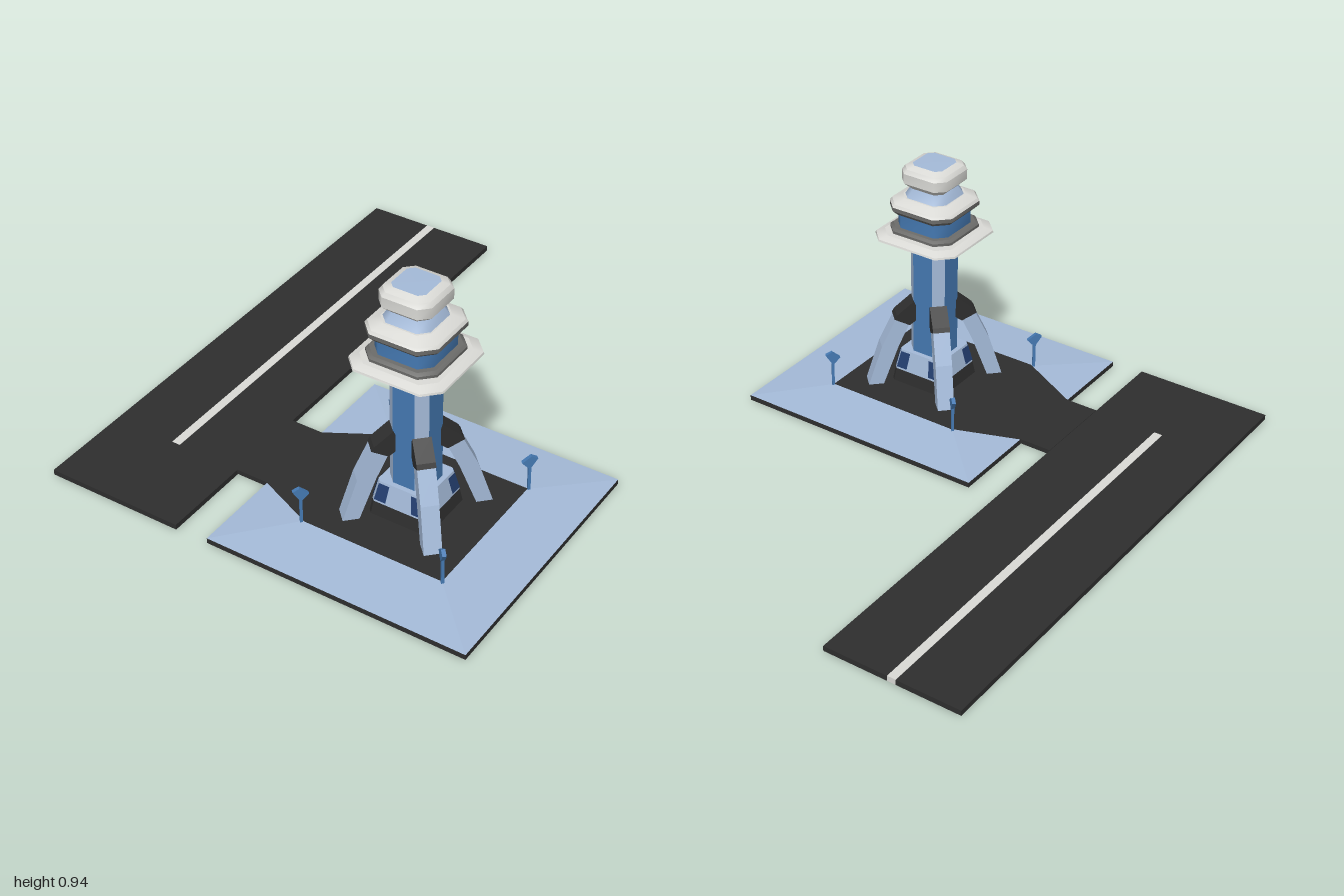
import * as THREE from 'three';

const mat = (name, color, side = THREE.FrontSide) => {
  const m = new THREE.MeshStandardMaterial({ color, side });
  m.name = name;
  return m;
};

export function createModel() {
  const paleBlue = mat('pale blue', 0xa4bad8, THREE.DoubleSide);
  const blue = mat('blue', 0x4579b2);
  const navy = mat('navy', 0x243f70, THREE.DoubleSide);
  const asphalt = mat('asphalt', 0x2e2e2e, THREE.DoubleSide);
  const white = mat('off white', 0xdadad6);
  const grey = mat('grey', 0x6c6c6a);

  const model = new THREE.Group();
  const tower = new THREE.Group();
  tower.name = 'tower';
  tower.position.set(0.327, 0, 0.5);
  model.add(tower);

  const add = (parent, name, geometry, material) => {
    const mesh = new THREE.Mesh(geometry, material);
    mesh.name = name;
    parent.add(mesh);
    return mesh;
  };

  // Square section with cut corners: half width h, half flat h * k
  const section = (h, k) => {
    const f = h * k;
    return [[h, -f], [h, f], [f, h], [-f, h], [-h, f], [-h, -f], [-f, -h], [f, -h]];
  };

  // Skin over a profile of [half width, y]; smooth runs around each band only
  function tier(profile, k, smooth = true, sides = [0, 1, 2, 3, 4, 5, 6, 7]) {
    const pos = [], idx = [];
    for (let s = 0; s < profile.length - 1; s++) {
      const base = pos.length / 3;
      for (const [h, y] of [profile[s], profile[s + 1]])
        for (const [x, z] of section(h, k)) pos.push(x, y, z);
      for (const i of sides) {
        const a = base + i, b = base + (i + 1) % 8;
        idx.push(a, a + 8, b, b, a + 8, b + 8);
      }
    }
    let g = new THREE.BufferGeometry();
    g.setAttribute('position', new THREE.Float32BufferAttribute(pos, 3));
    g.setIndex(idx);
    if (!smooth) g = g.toNonIndexed();
    g.computeVertexNormals();
    return g;
  }

  // Slab through cross-sections [x, half depth, top, bottom]
  function slab(rows) {
    const pos = [], idx = [];
    for (const [x, d, t, b] of rows) pos.push(x, t, -d, x, t, d, x, b, d, x, b, -d);
    for (let r = 0; r < rows.length - 1; r++)
      for (let i = 0; i < 4; i++) {
        const a = r * 4 + i, b = r * 4 + (i + 1) % 4;
        idx.push(a, b, a + 4, b, b + 4, a + 4);
      }
    const e = (rows.length - 1) * 4;
    idx.push(0, 2, 1, 0, 3, 2, e, e + 1, e + 2, e, e + 2, e + 3);
    let g = new THREE.BufferGeometry();
    g.setAttribute('position', new THREE.Float32BufferAttribute(pos, 3));
    g.setIndex(idx);
    g = g.toNonIndexed();
    g.computeVertexNormals();
    return g;
  }

  const extrude = (points, depth) => {
    const shape = new THREE.Shape(points.map(([x, y]) => new THREE.Vector2(x, y)));
    return new THREE.ExtrudeGeometry(shape, { depth, bevelEnabled: false }).translate(0, 0, -depth / 2);
  };

  const block = (name, x0, x1, z0, z1, y1, material) =>
    add(model, name, new THREE.BoxGeometry(x1 - x0, y1, z1 - z0)
      .translate((x0 + x1) / 2, y1 / 2, (z0 + z1) / 2), material);

  // Runway, split around the centre stripe
  block('runwayRight', -0.826, -0.58, -1, 1, 0.02, asphalt);
  block('runwayLeft', -0.547, -0.297, -1, 1, 0.02, asphalt);
  block('runwayEnd', -0.58, -0.547, 0.66, 1, 0.02, asphalt);
  block('runwayStripe', -0.58, -0.547, -1, 0.66, 0.021, white);

  // Sloped ground plate with dark rim
  add(tower, 'plateRim', tier([[0.4975, 0], [0.4975, 0.02]], 1, false), asphalt);
  add(tower, 'plateSlope', tier([[0.4975, 0.02], [0.27, 0.036]], 1, false), paleBlue);

  // Apron and taxiway
  add(tower, 'apron', slab([
    [-0.624, 0.162, 0.022, 0.004], [-0.497, 0.162, 0.022, 0.004],
    [-0.497, 0.162, 0.022, 0.018], [-0.265, 0.271, 0.038, 0.034], [0.271, 0.271, 0.038, 0.034],
  ]), asphalt);

  // Tower base
  add(tower, 'basePlinth', tier([[0.118, 0.036], [0.11, 0.088]], 0.88, false), asphalt);
  add(tower, 'baseBody', tier([[0.11, 0.088], [0.094, 0.168], [0, 0.168]], 0.88, false), paleBlue);

  // Base windows, two on each side
  const faceZ = y => 0.11 - (y - 0.088) * 0.2 + 0.003;
  for (let q = 0; q < 4; q++)
    for (const s of [-1, 1]) {
      const g = new THREE.BufferGeometry();
      const c = [[0.05, 0.097], [0.095, 0.097], [0.083, 0.162], [0.042, 0.162]];
      g.setAttribute('position', new THREE.Float32BufferAttribute(
        c.flatMap(([x, y]) => [s * x, y, faceZ(y)]), 3));
      g.setIndex(s > 0 ? [0, 1, 2, 0, 2, 3] : [0, 2, 1, 0, 3, 2]);
      g.computeVertexNormals();
      add(tower, 'baseWindow', g, navy).rotation.y = q * Math.PI / 2;
    }

  // Shaft: blue flats, pale corners
  const shaft = [[0.076, 0.16], [0.076, 0.65]];
  add(tower, 'shaftPanels', tier(shaft, 0.55, false, [0, 2, 4, 6]), blue);
  add(tower, 'shaftCorners', tier(shaft, 0.55, false, [1, 3, 5, 7]), paleBlue);

  // Buttress legs with dark caps on the diagonals
  const legShape = [[0.2, 0.034], [0.257, 0.034], [0.205, 0.2], [0.15, 0.318], [0.1, 0.29], [0.14, 0.2]];
  const capShape = [[0.099, 0.285], [0.156, 0.314], [0.147, 0.33], [0.083, 0.385], [0.068, 0.355], [0.072, 0.305]];
  for (let q = 0; q < 4; q++) {
    const leg = new THREE.Group();
    leg.name = 'buttress';
    leg.rotation.y = Math.PI / 4 + q * Math.PI / 2;
    add(leg, 'leg', extrude(legShape, 0.062), paleBlue);
    add(leg, 'legCap', extrude(capShape, 0.064), asphalt);
    tower.add(leg);
  }

  // Gallery deck
  add(tower, 'deckUnderside', tier([[0, 0.645], [0.165, 0.645]], 0.7, false), paleBlue);
  add(tower, 'deckLowerEdge', tier([[0.165, 0.645], [0.17, 0.653]], 0.7), navy);
  add(tower, 'deck', tier([[0.165, 0.653], [0.177, 0.653], [0.175, 0.66], [0.148, 0.672], [0.1, 0.674]], 0.7), white);

  // Control room
  add(tower, 'sillRing', tier([[0.12, 0.672], [0.135, 0.678], [0.135, 0.688], [0.125, 0.696], [0.1, 0.696]], 0.66), grey);
  add(tower, 'controlRoomGlass', tier([[0.11, 0.69], [0.11, 0.758]], 0.66), blue);
  add(tower, 'eaveUnderside', tier([[0.1, 0.752], [0.12, 0.752], [0.137, 0.77], [0.137, 0.785]], 0.64), grey);
  add(tower, 'eaveRoof', tier([[0.137, 0.785], [0.13, 0.795], [0.095, 0.812], [0.07, 0.812]], 0.64), white);

  // Neck and top dome
  add(tower, 'neck', tier([[0.09, 0.81], [0.07, 0.845]], 0.64), paleBlue);
  add(tower, 'dome', tier([[0.07, 0.845], [0.098, 0.872], [0.098, 0.91], [0.088, 0.925], [0.064, 0.936]], 0.66), white);
  add(tower, 'domeTop', tier([[0.064, 0.936], [0, 0.937]], 0.7, false), paleBlue);

  // Corner lamps
  const headShape = [[-0.028, 0.155], [0, 0.125], [0.027, 0.168], [0.004, 0.18]];
  for (let q = 0; q < 4; q++) {
    const lamp = new THREE.Group();
    lamp.name = 'cornerLamp';
    lamp.rotation.y = Math.PI / 4 + q * Math.PI / 2;
    add(lamp, 'lampPost', new THREE.BoxGeometry(0.01, 0.11, 0.01).translate(0.388, 0.09, 0), blue);
    add(lamp, 'lampHead', extrude(headShape, 0.014).translate(0.388, 0, 0), blue);
    tower.add(lamp);
  }
  return model;
}
